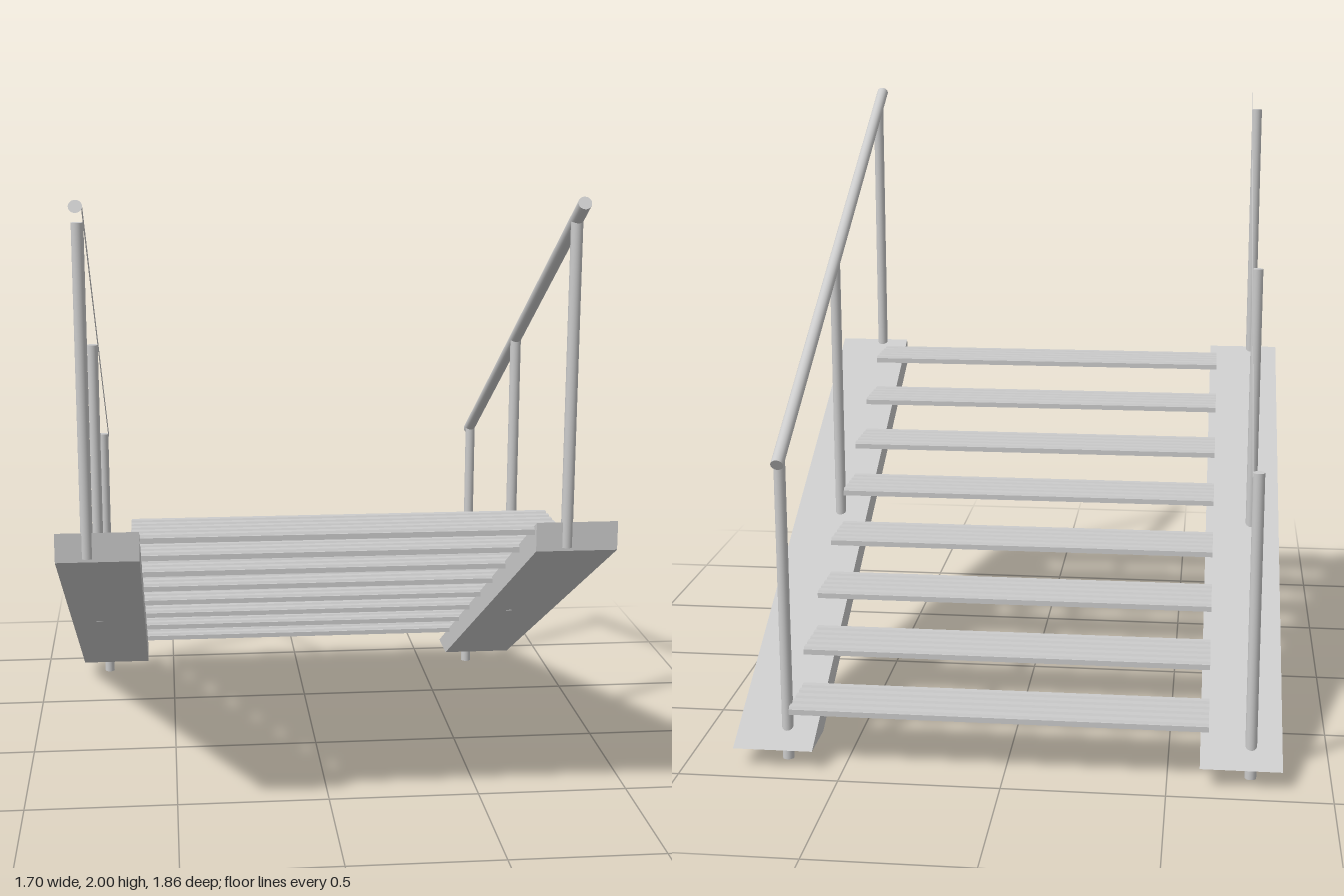
import * as THREE from 'three';

const UP = new THREE.Vector3(0, 1, 0);
const grey = new THREE.MeshStandardMaterial({ color: 0xcccccc });

function add(parent, name, geometry) {
  const mesh = new THREE.Mesh(geometry, grey);
  mesh.name = name;
  parent.add(mesh);
  return mesh;
}

// Extrudes a side profile of [z, y] points from x0 to x1
function sideExtrude(points, x0, x1) {
  const shape = new THREE.Shape(points.map(([z, y]) => new THREE.Vector2(-z, y)));
  return new THREE.ExtrudeGeometry(shape, { depth: x1 - x0, bevelEnabled: false })
    .rotateY(Math.PI / 2)
    .translate(x0, 0, 0);
}

// Ribbed tread section, its front top edge at the given z and y
function treadProfile(z, y) {
  const depth = 0.218, ribs = 5, pitch = depth / ribs;
  const points = [[z, y - 0.024]];
  for (let i = 0; i < ribs; i++) {
    const f = z - i * pitch;
    points.push([f, y - 0.007], [f - 0.008, y - 0.007], [f - 0.012, y], [f - 0.034, y], [f - 0.038, y - 0.007]);
  }
  points.push([z - depth, y - 0.007], [z - depth, y - 0.024]);
  return points;
}

export function createModel() {
  const model = new THREE.Group();
  model.name = 'staircase';

  // Sloping side beams
  const beam = [[0.84, 1.02], [0.84, 0.93], [-0.77, 0.06], [-0.93, 0.06]];
  add(model, 'rightStringer', sideExtrude(beam, -0.85, -0.6));
  add(model, 'leftStringer', sideExtrude(beam, 0.595, 0.845));

  // Eight ribbed treads
  const treads = new THREE.Group();
  treads.name = 'treads';
  model.add(treads);
  for (let i = 0; i < 8; i++) {
    add(treads, 'tread', sideExtrude(treadProfile(0.815 - 0.2153 * i, 1 - 0.115 * i), -0.625, 0.67));
  }

  // Posts: z, bottom, top
  const posts = [[0.83, 0.94, 1.93], [-0.005, 0.48, 1.45], [-0.845, 0, 0.97]];
  for (const [side, x] of [['right', -0.755], ['left', 0.69]]) {
    for (const [z, bottom, top] of posts) {
      add(model, side + 'Post', new THREE.CylinderGeometry(0.018, 0.018, top - bottom, 20))
        .position.set(x, (bottom + top) / 2, z);
    }
  }

  // Handrail direction, from the low back end to the high front end
  const low = new THREE.Vector3(0, 0.96, -0.875);
  const high = new THREE.Vector3(0, 1.982, 0.92);
  const length = low.distanceTo(high);
  const mid = low.clone().lerp(high, 0.5);
  const slope = new THREE.Quaternion().setFromUnitVectors(UP, high.clone().sub(low).normalize());

  // Full round rail on the left
  const leftRail = add(model, 'leftHandrail', new THREE.CylinderGeometry(0.02, 0.02, length, 24));
  leftRail.position.copy(mid).setX(0.69);
  leftRail.quaternion.copy(slope);

  // Narrow one-sided strip with a round end disc on the right
  const rightRail = new THREE.Group();
  rightRail.name = 'rightHandrail';
  rightRail.position.copy(mid).setX(-0.755);
  rightRail.quaternion.copy(slope);
  model.add(rightRail);
  add(rightRail, 'railStrip',
    new THREE.CylinderGeometry(0.02, 0.02, length, 4, 1, true, Math.PI / 3, Math.PI / 3));
  add(rightRail, 'railEndDisc',
    new THREE.CircleGeometry(0.02, 24).rotateX(-Math.PI / 2).translate(0, length / 2, 0));

  return model;
}
